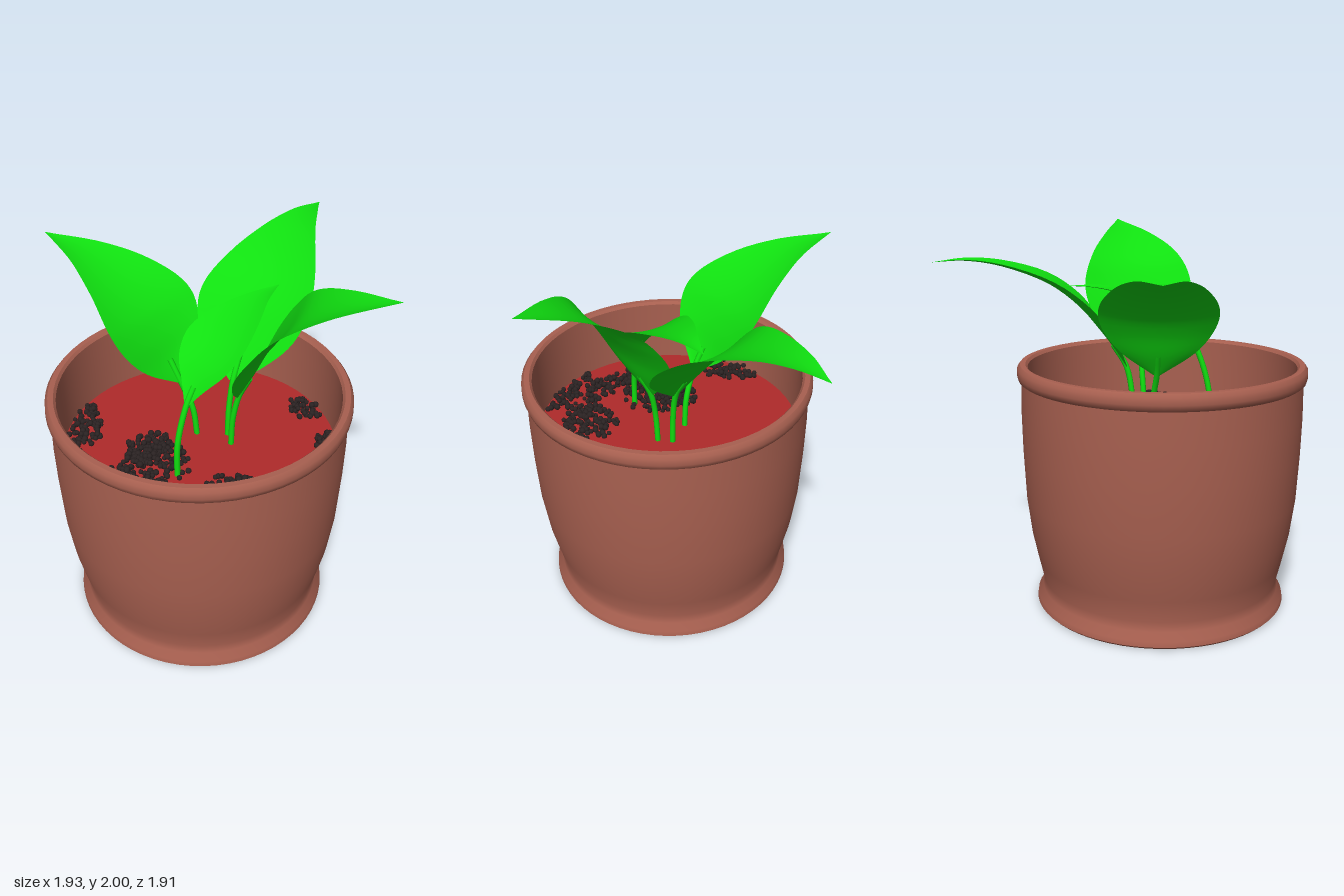
import * as THREE from 'three';
import { mergeGeometries, toCreasedNormals } from 'three/addons/utils/BufferGeometryUtils.js';

const material = (color, side = THREE.FrontSide) => new THREE.MeshStandardMaterial({ color, side });
const clay = material(0xa86050);
const soilRed = material(0xb02a2a);
const grit = material(0x2a2222);
const green = material(0x10e010, THREE.DoubleSide);

const POT_X = -0.207, POT_Z = 0.055, SOIL_Y = 0.955;

function add(parent, name, geometry, mat) {
  const mesh = new THREE.Mesh(geometry, mat);
  mesh.name = name;
  parent.add(mesh);
  return mesh;
}

const vectors = (points) => points.map((p) => new THREE.Vector3(p[0], p[1], p[2]));

// Leaf blade: a cupped strip swept along its midrib. Each rib point is [x, y, z, half width].
function bladeGeometry(rib, side, cup) {
  const rows = 28, cols = 12;
  const spine = new THREE.CatmullRomCurve3(vectors(rib));
  const widths = new THREE.CatmullRomCurve3(rib.map((p) => new THREE.Vector3(p[3], 0, 0)), false, 'catmullrom', 0.5);
  const position = [], index = [];
  for (let i = 0; i <= rows; i++) {
    const t = i / rows;
    const centre = spine.getPoint(t);
    const half = Math.max(widths.getPoint(t).x, 0.002);
    const normal = side.clone().cross(spine.getTangent(t)).normalize();
    if (normal.y < 0) normal.negate();
    for (let j = 0; j <= cols; j++) {
      const s = (j / cols) * 2 - 1;
      const p = centre.clone()
        .addScaledVector(side, s * half)
        .addScaledVector(normal, cup * half * (s * s - 0.3));
      position.push(p.x, p.y, p.z);
      if (i < rows && j < cols) {
        const a = i * (cols + 1) + j, b = a + cols + 1;
        index.push(a, b, a + 1, b, b + 1, a + 1);
      }
    }
  }
  const geometry = new THREE.BufferGeometry();
  geometry.setAttribute('position', new THREE.Float32BufferAttribute(position, 3));
  geometry.setIndex(index);
  geometry.computeVertexNormals();
  return geometry;
}

function leaf(name, stem, rib, cup) {
  const group = new THREE.Group();
  group.name = name;
  const first = rib[0], tip = rib[rib.length - 1];
  const side = new THREE.Vector3(tip[2] - first[2], 0, first[0] - tip[0]).normalize();
  add(group, name + 'Blade', bladeGeometry(rib, side, cup), green);
  // The stem runs from the soil into the lower midrib
  const path = new THREE.CatmullRomCurve3(vectors([...stem, rib[0], rib[1]]));
  add(group, name + 'Stem', new THREE.TubeGeometry(path, 24, 0.015, 8), green);
  return group;
}

// Soil grains scattered in patches: [x, z, radius x, radius z, count]
function grainsGeometry() {
  let seed = 7;
  const random = () => (seed = (seed * 16807) % 2147483647) / 2147483647;
  const patches = [
    [-0.5, 0.0, 0.2, 0.17, 170], [-0.4, -0.13, 0.13, 0.1, 70], [-0.7, -0.08, 0.11, 0.11, 45],
    [-0.7, 0.3, 0.1, 0.3, 140], [-0.43, 0.42, 0.16, 0.15, 120], [-0.55, -0.47, 0.16, 0.1, 100],
    [-0.42, -0.57, 0.1, 0.07, 35], [-0.85, 0.27, 0.05, 0.08, 22], [0.36, 0.33, 0.1, 0.1, 60],
    [0.4, -0.17, 0.05, 0.05, 20], [0.25, -0.48, 0.05, 0.04, 12], [0.2, 0.57, 0.08, 0.07, 25],
    [-0.17, 0.73, 0.08, 0.03, 16], [-0.55, 0.66, 0.1, 0.05, 18],
  ];
  const grains = [];
  for (const [x, z, rx, rz, count] of patches) {
    for (let i = 0; i < count; i++) {
      const angle = random() * Math.PI * 2, r = Math.sqrt(random());
      const px = x + Math.cos(angle) * r * rx, pz = z + Math.sin(angle) * r * rz;
      const height = SOIL_Y + 0.005 + random() * 0.045 * (1 - r * 0.6);
      if (Math.hypot(px - POT_X, pz - POT_Z) > 0.685) continue;
      grains.push(new THREE.IcosahedronGeometry(0.012 + random() * 0.005, 1).translate(px, height, pz));
    }
  }
  return mergeGeometries(grains);
}

export function createModel() {
  const model = new THREE.Group();
  model.name = 'pottedPlant';

  // Pot with recessed base, flared foot, rolled rim and hollow inside
  const profile = [
    [0, 0.09], [0.565, 0.09], [0.665, 0], [0.677, 0.012], [0.673, 0.04], [0.645, 0.08], [0.64, 0.13],
    [0.668, 0.25], [0.7, 0.4], [0.725, 0.6], [0.737, 0.85], [0.741, 1.05], [0.738, 1.225],
    [0.752, 1.235], [0.759, 1.26], [0.757, 1.295], [0.742, 1.314], [0.715, 1.314],
    [0.703, 1.3], [0.703, 1.2], [0.7, 0.92],
  ].map(([r, y]) => new THREE.Vector2(r, y));
  const pot = add(model, 'pot', toCreasedNormals(new THREE.LatheGeometry(profile, 64), 0.7), clay);
  pot.position.set(POT_X, 0, POT_Z);

  // Soil
  const soil = add(model, 'soil', new THREE.CylinderGeometry(0.702, 0.702, 0.03, 64), soilRed);
  soil.position.set(POT_X, SOIL_Y - 0.015, POT_Z);
  add(model, 'soilGrains', grainsGeometry(), grit);

  // Leaves
  model.add(leaf('backLeaf',
    [[-0.15, 0.94, -0.01], [-0.16, 1.12, -0.03]],
    [[-0.18, 1.27, -0.09, 0.02], [-0.185, 1.38, -0.15, 0.18], [-0.185, 1.5, -0.21, 0.275],
      [-0.185, 1.61, -0.29, 0.295], [-0.185, 1.72, -0.44, 0.23], [-0.187, 1.8, -0.66, 0.125],
      [-0.19, 1.83, -0.96, 0]], 0.14));
  model.add(leaf('leftLeaf',
    [[-0.06, 0.94, 0.12], [-0.05, 1.12, 0.12]],
    [[-0.02, 1.27, 0.12, 0.02], [0.05, 1.39, 0.11, 0.17], [0.12, 1.49, 0.095, 0.265],
      [0.22, 1.61, 0.08, 0.295], [0.38, 1.73, 0.06, 0.24], [0.62, 1.82, 0.01, 0.135],
      [0.8, 1.845, -0.02, 0.065], [0.96, 1.835, -0.04, 0]], 0.14));
  model.add(leaf('frontLeaf',
    [[-0.11, 0.94, 0.18], [-0.11, 1.12, 0.19]],
    [[-0.1, 1.27, 0.22, 0.02], [-0.1, 1.4, 0.28, 0.16], [-0.085, 1.54, 0.335, 0.265],
      [-0.075, 1.67, 0.41, 0.295], [-0.06, 1.8, 0.51, 0.25], [-0.02, 1.91, 0.69, 0.145],
      [0.05, 2.0, 0.95, 0]], 0.14));
  model.add(leaf('smallLeaf',
    [[-0.47, 0.94, 0.12], [-0.46, 1.15, 0.12]],
    [[-0.4, 1.35, 0.13, 0.012], [-0.35, 1.43, 0.135, 0.07], [-0.28, 1.52, 0.14, 0.145],
      [-0.17, 1.6, 0.14, 0.17], [-0.01, 1.66, 0.145, 0.125], [0.14, 1.69, 0.15, 0.06],
      [0.3, 1.695, 0.16, 0]], 0.14));
  return model;
}
